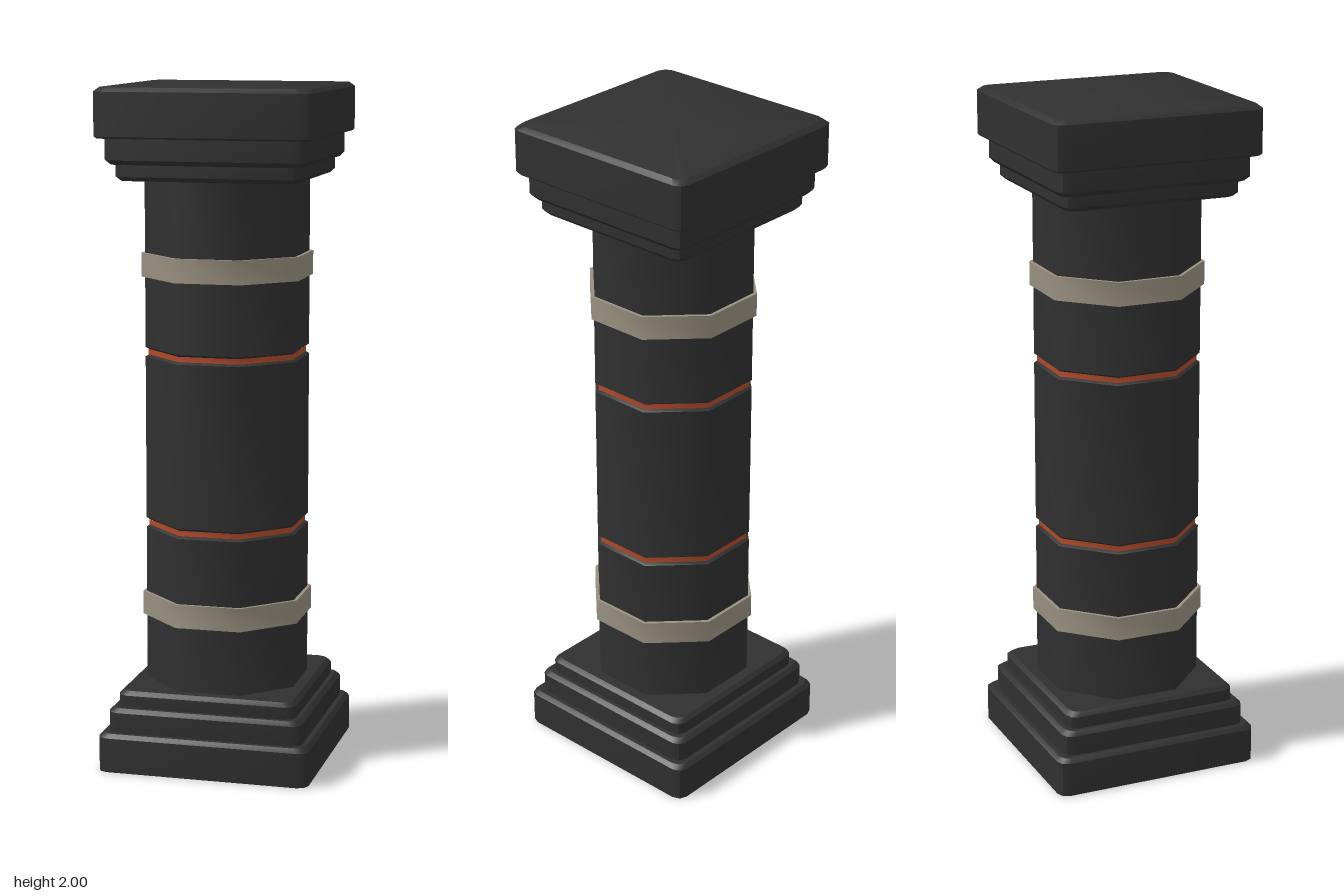
import * as THREE from 'three';
import { toCreasedNormals } from 'three/addons/utils/BufferGeometryUtils.js';

const stone = new THREE.MeshStandardMaterial({ color: 0x303030 });
stone.name = 'dark stone';
const stoneShell = new THREE.MeshStandardMaterial({ color: 0x303030, side: THREE.DoubleSide });
stoneShell.name = 'dark stone shell';
const band = new THREE.MeshStandardMaterial({ color: 0x989080 });
band.name = 'pale band';
const glow = new THREE.MeshStandardMaterial({ color: 0xb04a2a });
glow.name = 'orange inlay';

// Ring of a square with rounded corners (two segments per corner)
function squareRing(half, y) {
  const r = Math.min(0.03, half), ring = [];
  for (let k = 0; k < 4; k++) {
    const sx = k === 0 || k === 3 ? 1 : -1, sz = k < 2 ? 1 : -1;
    for (let j = 0; j < 3; j++) {
      const a = (k + j / 2) * Math.PI / 2;
      ring.push(sx * (half - r) + r * Math.cos(a), y, sz * (half - r) + r * Math.sin(a));
    }
  }
  return ring;
}

// Sweep of square rings along a profile of [half width, y], from bottom to top
function squareLoft(profile) {
  const n = 12, index = [];
  const pos = profile.flatMap(([h, y]) => squareRing(h, y));
  for (let i = 0; i < profile.length - 1; i++) {
    for (let j = 0; j < n; j++) {
      const a = i * n + j, c = i * n + (j + 1) % n;
      index.push(a, a + n, c, c, a + n, c + n);
    }
  }
  const geo = new THREE.BufferGeometry();
  geo.setAttribute('position', new THREE.Float32BufferAttribute(pos, 3));
  geo.setIndex(index);
  return toCreasedNormals(geo, 0.6);
}

// Eight-sided turned shape, flats facing the axes; profile of [half width, y]
function octagon(profile) {
  const pts = profile.map(([h, y]) => new THREE.Vector2(h / Math.cos(Math.PI / 8), y));
  return toCreasedNormals(new THREE.LatheGeometry(pts, 8, Math.PI / 8), 0.9);
}

export function createModel() {
  const model = new THREE.Group();
  const add = (name, geo, mat) => {
    const mesh = new THREE.Mesh(geo, mat);
    mesh.name = name;
    model.add(mesh);
  };

  // Stepped base, hollow underneath
  add('base', squareLoft([
    [0.317, 0], [0.317, 0.103], [0.306, 0.115],
    [0.292, 0.115], [0.292, 0.175], [0.28, 0.187],
    [0.268, 0.187], [0.268, 0.223], [0.256, 0.235], [0, 0.235],
  ]), stoneShell);

  // Stepped capital
  add('capital', squareLoft([
    [0, 1.735], [0.256, 1.735], [0.268, 1.747], [0.268, 1.782],
    [0.28, 1.782], [0.292, 1.795], [0.292, 1.857],
    [0.312, 1.857], [0.317, 1.862], [0.317, 1.988], [0.303, 2], [0, 2],
  ]), stone);

  // Three shaft drums with chamfered ends at the joints
  const w = 0.225, c = 0.012, d = 0.008;
  [[0.22, 0.704], [0.717, 1.217], [1.229, 1.75]].forEach(([y0, y1], i) => {
    add(`shaftDrum${i + 1}`, octagon([
      [0, y0], [w - c, y0], [w, y0 + d], [w, y1 - d], [w - c, y1], [0, y1],
    ]), stone);
  });

  // Inlays in the joints
  [0.7105, 1.223].forEach((y, i) => {
    add(`inlay${i + 1}`, octagon([[0.217, y - 0.008], [0.217, y + 0.008]]), glow);
  });

  // Raised bands
  [0.465, 1.48].forEach((y, i) => {
    add(`band${i + 1}`, octagon([
      [0.22, y - 0.035], [0.235, y - 0.035], [0.235, y + 0.035], [0.22, y + 0.035],
    ]), band);
  });
  return model;
}
